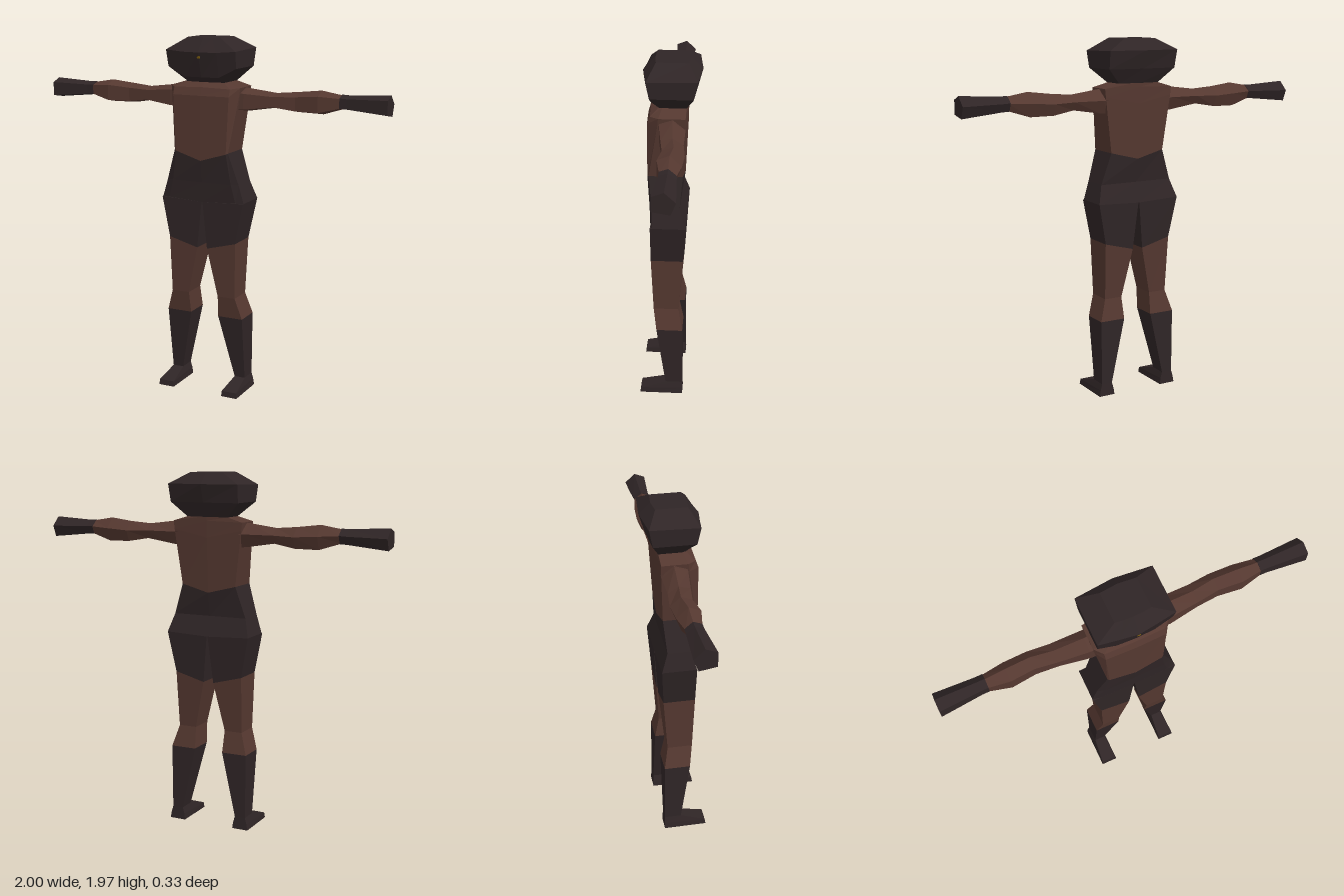
import * as THREE from 'three';

const skin = new THREE.MeshStandardMaterial({ color: 0x553830 });
skin.name = 'brown skin';
const cloth = new THREE.MeshStandardMaterial({ color: 0x2f2526 });
cloth.name = 'dark cloth';
const gold = new THREE.MeshStandardMaterial({ color: 0x86640c });
gold.name = 'gold';

// Faceted skin over a list of rings, with both ends closed
function loft(name, rings, material) {
  const pos = [];
  const tri = (a, b, c) => pos.push(...a, ...b, ...c);
  const n = rings[0].length;
  for (let i = 0; i < rings.length - 1; i++) {
    for (let j = 0; j < n; j++) {
      const k = (j + 1) % n;
      const [a, b, c, d] = [rings[i][j], rings[i][k], rings[i + 1][k], rings[i + 1][j]];
      tri(a, b, c);
      tri(a, c, d);
    }
  }
  const first = rings[0], last = rings[rings.length - 1];
  const middle = (r) => [0, 1, 2].map((e) => r.reduce((s, p) => s + p[e], 0) / n);
  const m0 = middle(first), m1 = middle(last);
  for (let j = 0; j < n; j++) {
    const k = (j + 1) % n;
    tri(m0, first[k], first[j]);
    tri(m1, last[j], last[k]);
  }
  const geometry = new THREE.BufferGeometry();
  geometry.setAttribute('position', new THREE.Float32BufferAttribute(pos, 3));
  geometry.computeVertexNormals();
  const mesh = new THREE.Mesh(geometry, material);
  mesh.name = name;
  return mesh;
}

const flip = (rings) => rings.map((r) => r.map(([x, y, z]) => [-x, y, z]).reverse());

// Completes half a ring that runs from front centre to back centre
const whole = (half) => [...half, ...half.slice(1, -1).reverse().map(([x, y, z]) => [-x, y, z])];

// Four-sided leg section: inner and outer x, front and back z
const legRing = (yInner, yOuter, xi, xo, zf, zb) =>
  [[xi, yInner, zf], [xo, yOuter, zf], [xo, yOuter, zb], [xi, yInner, zb]];

// Five-sided arm section fitted to a y and z range
const pentagon = [[0, 0.55], [0.48, 1], [1, 0.8], [1, 0.13], [0.22, 0]];
const armRing = ([x, y0, y1, z0, z1]) =>
  pentagon.map(([u, v]) => [x, y0 + v * (y1 - y0), z0 + u * (z1 - z0)]);

export function createModel() {
  const model = new THREE.Group();
  model.name = 'figure';
  const pair = (name, rings, material) => {
    model.add(loft('left' + name, rings, material));
    model.add(loft('right' + name, flip(rings), material));
  };

  // Torso
  const waist = [[0, 1.31, 0.12], [0.15, 1.355, 0.117], [0.16, 1.36, 0.11], [0.16, 1.36, -0.07], [0, 1.32, -0.078]];
  const torso = [
    waist,
    [[0, 1.66, 0.12], [0.165, 1.66, 0.115], [0.2, 1.66, 0.06], [0.2, 1.66, -0.085], [0, 1.62, -0.092]],
    [[0, 1.705, 0.105], [0.165, 1.7, 0.1], [0.205, 1.705, 0.055], [0.205, 1.705, -0.085], [0, 1.71, -0.094]],
    [[0, 1.73, 0.06], [0.11, 1.73, 0.058], [0.12, 1.73, 0.04], [0.12, 1.73, -0.085], [0, 1.735, -0.094]],
  ];
  model.add(loft('torso', torso.map(whole), skin));

  // Shorts
  const hips = [
    [[0, 1.08, 0.1], [0.2, 1.09, 0.1], [0.245, 1.09, 0.09], [0.245, 1.09, -0.09], [0, 1.08, -0.09]],
    [[0, 1.19, 0.105], [0.175, 1.19, 0.105], [0.215, 1.19, 0.09], [0.215, 1.19, -0.056], [0, 1.19, -0.056]],
    waist,
  ];
  model.add(loft('hips', hips.map(whole), cloth));
  const hem = legRing(0.82, 0.865, 0.03, 0.2, 0.1, -0.075);
  pair('ShortsLeg', [hem, legRing(1.08, 1.09, 0.003, 0.245, 0.1, -0.09)], cloth);

  // Bare legs and boots
  const bootTop = legRing(0.43, 0.43, 0.085, 0.23, 0.07, -0.075);
  pair('Leg', [bootTop, legRing(0.55, 0.55, 0.09, 0.193, 0.087, -0.052), hem], skin);
  pair('Boot', [
    legRing(0, 0, 0.15, 0.243, 0.165, -0.077),
    [[0.152, 0.03, 0.16], [0.24, 0.03, 0.16], [0.237, 0.035, -0.076], [0.155, 0.035, -0.076]],
    legRing(0.07, 0.07, 0.165, 0.227, 0.02, -0.075),
    bootTop,
  ], cloth);

  // Arms and gloves
  pair('Arm', [
    [0.16, 1.57, 1.705, -0.085, 0.05],
    [0.22, 1.575, 1.7, -0.085, 0.05],
    [0.38, 1.6, 1.68, -0.085, 0.03],
    [0.5, 1.58, 1.69, -0.097, 0.015],
    [0.63, 1.578, 1.705, -0.09, 0.03],
    [0.75, 1.615, 1.685, -0.07, 0.01],
  ].map(armRing), skin);
  pair('Glove', [
    [0.74, 1.612, 1.69, -0.074, 0.012],
    [0.78, 1.61, 1.688, -0.074, 0.012],
    [1, 1.588, 1.7, -0.085, 0.028],
  ].map(armRing), cloth);

  // Helmet-like head
  const head = [
    [[0, 1.725, 0.06], [0.11, 1.725, 0.055], [0.12, 1.73, 0.04], [0.12, 1.73, -0.085], [0, 1.73, -0.095]],
    [[0, 1.757, 0.108], [0.1, 1.757, 0.104], [0.2, 1.808, 0.1], [0.2, 1.808, -0.125], [0, 1.808, -0.135]],
    [[0, 1.89, 0.146], [0.1, 1.89, 0.132], [0.205, 1.898, 0.118], [0.205, 1.905, -0.145], [0, 1.905, -0.165]],
    [[0, 1.965, 0.08], [0.05, 1.965, 0.078], [0.095, 1.965, 0.072], [0.095, 1.965, -0.095], [0, 1.965, -0.104]],
  ];
  model.add(loft('head', head.map(whole), cloth));

  // Thin eye plates laid on the sloping face
  const plate = (name, x, y, w, h, z, yaw) => {
    const shape = new THREE.Shape([[-0.5, 0.2], [-0.3, -0.5], [0.45, -0.5], [0.5, 0.3], [0, 0.5]]
      .map(([u, v]) => new THREE.Vector2(u * w, v * h)));
    const geometry = new THREE.ExtrudeGeometry(shape, { depth: 0.008, bevelEnabled: false });
    const mesh = new THREE.Mesh(geometry, gold);
    mesh.name = name;
    mesh.position.set(x, y, z);
    mesh.rotation.set(0.26, yaw, 0, 'YXZ');
    model.add(mesh);
  };
  plate('leftEye', 0.137, 1.842, 0.038, 0.022, 0.107, 0.13);
  plate('rightEye', -0.137, 1.842, 0.038, 0.022, 0.107, -0.13);
  plate('browMark', 0, 1.866, 0.018, 0.012, 0.134, 0);

  return model;
}
